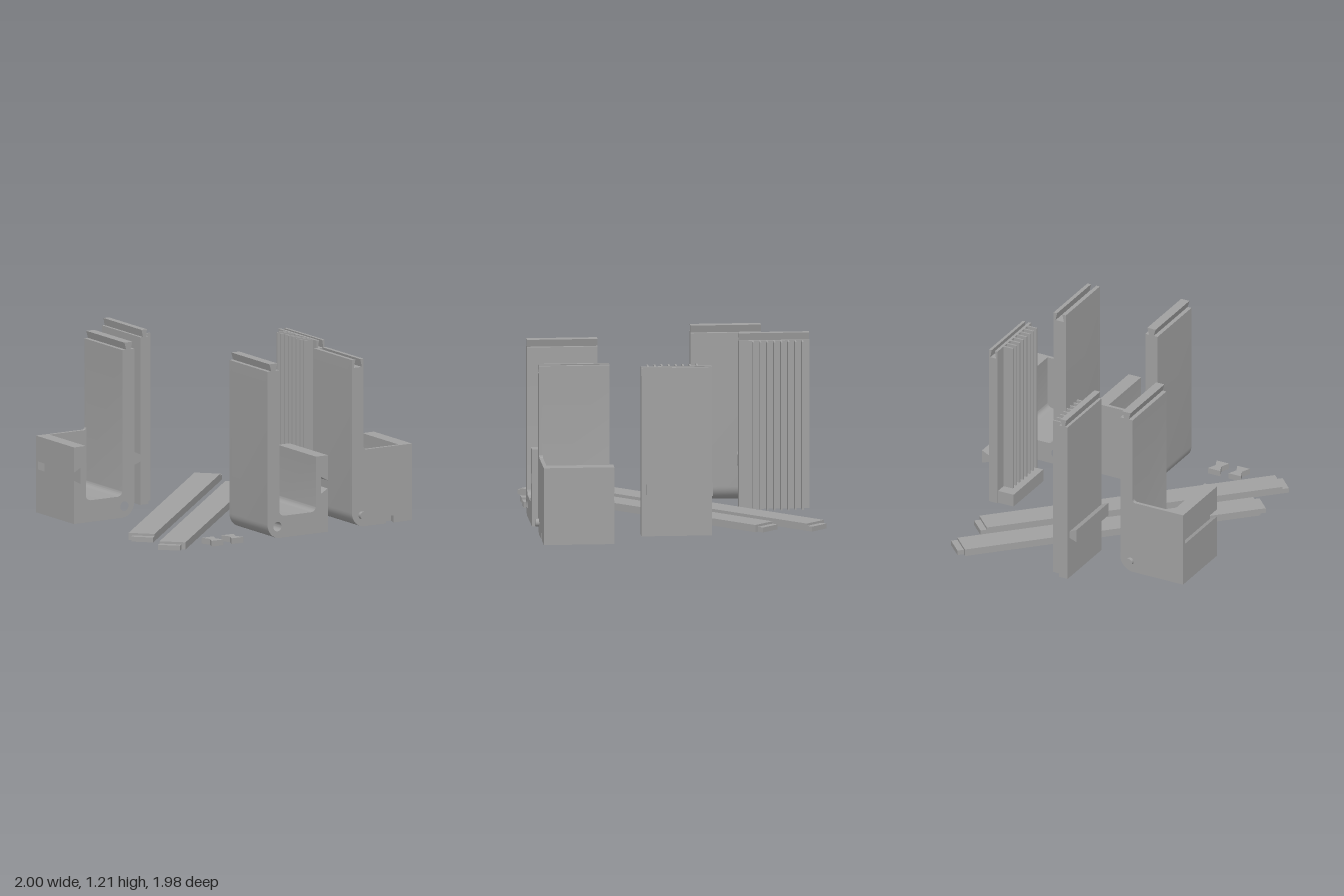
import * as THREE from 'three';
import { toCreasedNormals } from 'three/addons/utils/BufferGeometryUtils.js';

const grey = new THREE.MeshStandardMaterial({ color: 0xa0a0a0 });
grey.name = 'grey plastic';

const BIN_W = 0.485, DEPTH = 0.48, WALL = 0.095, BACK = 0.025, TOP = 1.16, RIM = 0.53;
const NOTCH_X = 0.305; // centre of the clip sockets under a bin

function mesh(geometry, name, parent) {
  const m = new THREE.Mesh(geometry, grey);
  m.name = name;
  parent.add(m);
  return m;
}

// Extrudes a shape along z from z0 to z1
function extrude(shape, z0, z1, name, parent) {
  const g = new THREE.ExtrudeGeometry(shape, { depth: z1 - z0, bevelEnabled: false, curveSegments: 12 });
  g.translate(0, 0, z0);
  return mesh(toCreasedNormals(g, 0.5), name, parent);
}

function box(w, h, d, x, y, z, name, parent) {
  const m = mesh(new THREE.BoxGeometry(w, h, d), name, parent);
  m.position.set(x, y, z);
  return m;
}

const polygon = (pts) => new THREE.Shape(pts.map((p) => new THREE.Vector2(...p)));

// Quarter round from a to b about the corner c
function round(a, c, b, n = 10) {
  const pts = [];
  for (let i = 0; i <= n; i++) {
    const t = (i / n) * Math.PI / 2, u = 1 - Math.sin(t), v = 1 - Math.cos(t);
    pts.push([c[0] + (a[0] - c[0]) * u + (b[0] - c[0]) * v, c[1] + (a[1] - c[1]) * u + (b[1] - c[1]) * v]);
  }
  return pts;
}

// Top edge of an upright, from right to left: a dovetail tongue or its socket
function topJoint(left, right, narrow, wide, male) {
  const c = (left + right) / 2, y = TOP + (male ? 0.05 : -0.055);
  return [[right, TOP], [c + narrow, TOP], [c + wide, y], [c - wide, y], [c - narrow, TOP], [left, TOP]];
}

// Bin with a tall side wall; its closed end is at z = 0, s = -1 mirrors it in x
function bin(name, s, male, sockets) {
  const g = new THREE.Group();
  g.name = name;
  const flip = (pts) => pts.map(([x, y]) => [x * s, y]);
  const wallTop = topJoint(0, WALL, male ? 0.018 : 0.02, 0.032, male);
  const corner = round([0, 0.1], [0, 0], [0.1, 0]);
  const a = NOTCH_X - 0.08, b = NOTCH_X + 0.08;
  const base = sockets ? [[a, 0], [a, 0.05], [b, 0.05], [b, 0], [BIN_W, 0]] : [[BIN_W, 0]];

  // Trough with side groove and pin hole
  const trough = polygon(flip([
    ...corner, ...base,
    [BIN_W, 0.3], [0.432, 0.27], [0.432, 0.385], [BIN_W, 0.355],
    [BIN_W, RIM], [0.39, RIM],
    ...round([0.39, 0.19], [0.39, 0.15], [0.35, 0.15]),
    ...round([0.135, 0.15], [WALL, 0.15], [WALL, 0.19]),
    ...wallTop,
  ]));
  const hole = new THREE.Path();
  hole.absarc(0.08 * s, 0.08, 0.033, 0, Math.PI * 2, true);
  trough.holes.push(hole);
  extrude(trough, BACK, DEPTH, 'trough', g);

  // Closed end
  extrude(polygon(flip([
    ...corner, ...base, [BIN_W, RIM],
    ...round([WALL + 0.02, RIM], [WALL, RIM], [WALL, RIM + 0.02]),
    ...wallTop,
  ])), 0, BACK, 'endWall', g);

  // Hinge pin
  const pin = mesh(new THREE.CylinderGeometry(0.026, 0.026, 0.03, 24), 'pin', g);
  pin.rotation.x = Math.PI / 2;
  pin.position.set(0.078 * s, 0.08, -0.01);

  // Floor slab with a dovetail clip socket at both ends
  if (sockets) {
    const n = 0.03, w = 0.05, d = 0.0625, c = NOTCH_X;
    const plan = flip([
      [a, 0], [c - n, 0], [c - w, d], [c + w, d], [c + n, 0], [b, 0],
      [b, DEPTH], [c + n, DEPTH], [c + w, DEPTH - d], [c - w, DEPTH - d], [c - n, DEPTH], [a, DEPTH],
    ]);
    const slab = extrude(polygon(plan), 0, 0.05, 'socketFloor', g);
    slab.rotation.x = Math.PI / 2;
    slab.position.y = 0.05;
  }
  return g;
}

// Upright panel with a side rail and a row of fins
function panel(name, male) {
  const g = new THREE.Group();
  g.name = name;
  const h = 0.0325;
  extrude(polygon([[-h, 0], [h, 0], ...topJoint(-h, h, 0.012, 0.022, male)]), 0, DEPTH, 'plate', g);
  extrude(polygon([[-h, 0.3], [-h, 0.35], [-h - 0.054, 0.375], [-h - 0.054, 0.28]]), 0.03, DEPTH, 'rail', g);
  for (let i = 0; i < 8; i++) {
    box(0.072, TOP, 0.012, h + 0.036, TOP / 2, 0.05 + i * 0.048, 'fin', g);
  }
  return g;
}

// Long flat strip with a thinner tongue at each end
function strip(name) {
  const g = new THREE.Group();
  g.name = name;
  box(2.09, 0.05, 0.18, 0, 0.025, 0, 'bar', g);
  for (const e of [-1, 1]) box(0.06, 0.034, 0.152, e * 1.06, 0.017, 0.014, 'tongue', g);
  return g;
}

export function createModel() {
  const root = new THREE.Group();
  root.name = 'modularBinKit';
  const place = (part, x, z, ry = 0) => {
    part.position.set(x, 0, z);
    part.rotation.y = ry;
    root.add(part);
    return part;
  };

  // Three bins
  place(bin('backBin', -1, true, false), -0.517, -0.638);
  place(bin('middleBin', 1, true, false), -0.18, 0.51);
  place(bin('leftBin', -1, false, true), 0.515, 0.966, Math.PI);

  // Two finned panels, the second with a foot
  place(panel('tonguePanel', true), -0.2425, -0.94);
  const footed = place(panel('socketPanel', false), 0.7025, 0.28, Math.PI);
  box(0.12, 0.09, 0.42, 0.0925, 0.045, 0.26, 'foot', footed);

  // Two diagonal strips
  place(strip('backStrip'), -0.18, -0.178, Math.PI / 4);
  place(strip('frontStrip'), -0.157, 0.174, Math.PI * 1.25);

  // Two bow-tie clips
  for (const x of [-0.582, -0.422]) {
    const clip = extrude(polygon([
      [-0.048, -0.0625], [0.048, -0.0625], [0.022, 0], [0.048, 0.0625], [-0.048, 0.0625], [-0.022, 0],
    ]), 0, 0.04, 'clip', root);
    clip.rotation.x = -Math.PI / 2;
    clip.position.set(x, 0, 0.928);
  }
  return root;
}
